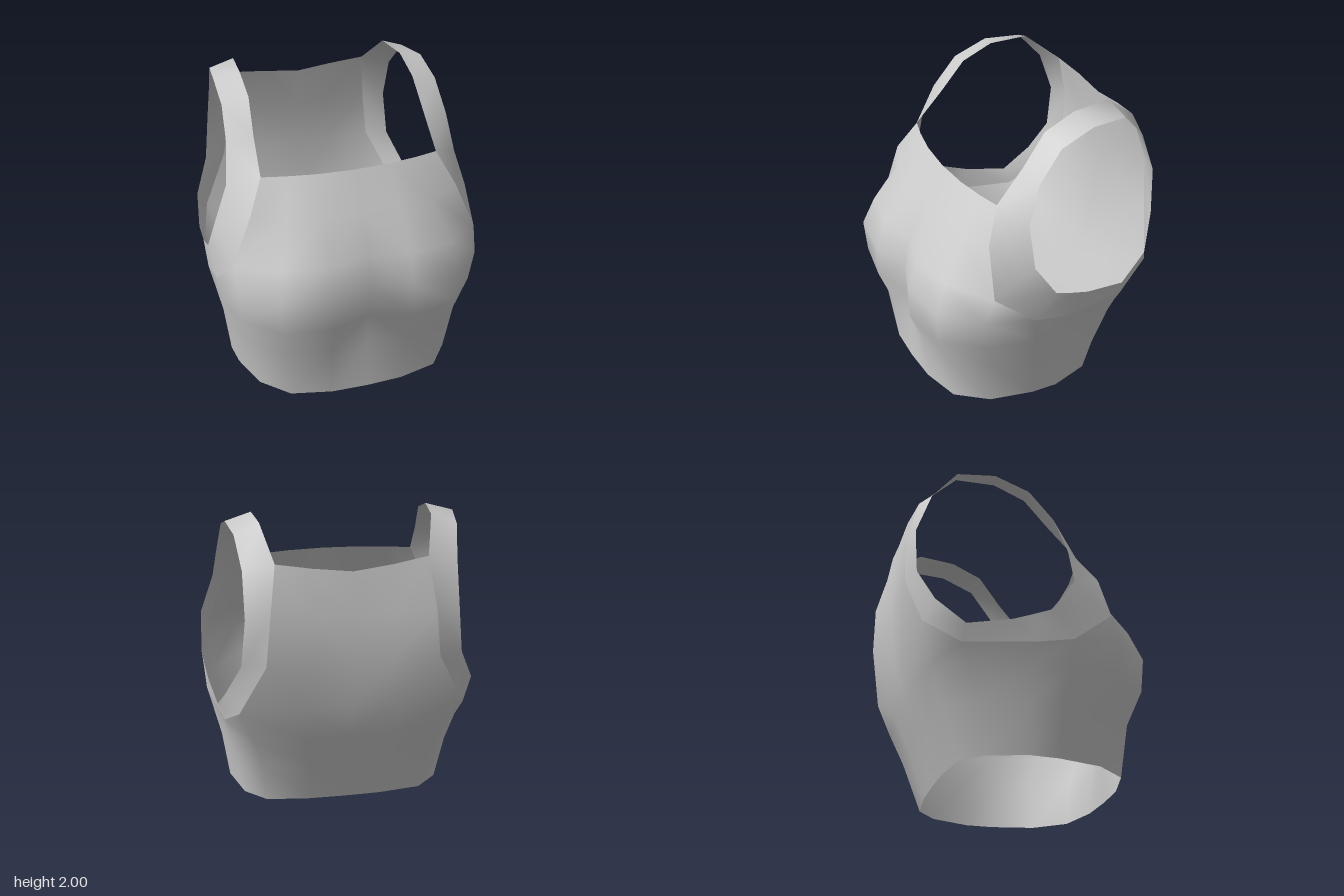
import * as THREE from 'three';
import { mergeVertices } from 'three/addons/utils/BufferGeometryUtils.js';

// Armhole edge, from the front of the shoulder down, under the arm and up the back
const armhole = [
  [0.8, 1.41, 0.205], [0.89, 1.15, 0.21], [0.905, 0.92, 0.06], [0.895, 0.875, -0.06],
  [0.88, 0.83, -0.19], [0.84, 0.78, -0.48], [0.8, 0.94, -0.67], [0.7, 1.17, -0.77],
  [0.67, 1.48, -0.78], [0.67, 1.76, -0.68], [0.7, 1.94, -0.52], [0.735, 1.95, -0.27],
  [0.745, 1.86, -0.04], [0.765, 1.66, 0.12],
];
// Seam around the armhole, which becomes the neck edge along the strap
const seam = [
  [0.605, 1.49, 0.33], [0.71, 1.28, 0.44], [0.845, 0.96, 0.47], [0.888, 0.74, 0.2],
  [0.885, 0.69, -0.05], [0.8, 0.67, -0.5], [0.72, 0.82, -0.73], [0.55, 1.17, -0.815],
  [0.52, 1.48, -0.815], [0.475, 1.81, -0.725], [0.54, 2, -0.49], [0.565, 1.99, -0.23],
  [0.57, 1.9, -0.02], [0.59, 1.7, 0.14],
];

// A row of points at one height from [x, z] pairs
const level = (y, ...xz) => xz.map(([x, z]) => [x, y, z]);

// Front panel, neckline to hem, centre to side
const front = [
  [...level(1.49, [0, 0.42], [0.25, 0.405], [0.45, 0.37]), seam[0]],
  [...level(1.25, [0, 0.55], [0.26, 0.56], [0.5, 0.53]), seam[1]],
  [...level(0.99, [0, 0.68], [0.27, 0.74], [0.58, 0.69]), seam[2]],
  level(0.79, [0, 0.72], [0.27, 0.81], [0.62, 0.77], [0.835, 0.53]),
  level(0.57, [0, 0.71], [0.27, 0.81], [0.6, 0.755], [0.81, 0.5]),
  level(0.34, [0, 0.69], [0.26, 0.72], [0.56, 0.66], [0.75, 0.43]),
  level(0, [0, 0.7], [0.25, 0.69], [0.52, 0.62], [0.68, 0.42]),
];

// Back panel, neckline to hem, side to centre
const back = [
  [seam[9], [0.25, 1.78, -0.755], [0, 1.75, -0.76]],
  [seam[8], ...level(1.48, [0.25, -0.81], [0, -0.795])],
  [seam[7], ...level(1.17, [0.25, -0.81], [0, -0.79])],
  [seam[6], ...level(0.84, [0.3, -0.77], [0, -0.755])],
  level(0.57, [0.62, -0.655], [0.28, -0.685], [0, -0.675]),
  level(0.34, [0.57, -0.56], [0.26, -0.59], [0, -0.585]),
  level(0, [0.53, -0.44], [0.25, -0.475], [0, -0.48]),
];

// Side panel joins the front and back panels below the armhole
const side = [
  [front[3][3], seam[3], seam[4], seam[5], seam[6]],
  [front[4][3], ...level(0.55, [0.855, 0.18], [0.85, -0.05], [0.765, -0.44]), back[4][0]],
  [front[5][3], ...level(0.33, [0.795, 0.15], [0.797, -0.05], [0.715, -0.38]), back[5][0]],
  [front[6][3], ...level(0, [0.745, 0.13], [0.75, -0.05], [0.67, -0.31]), back[6][0]],
];
// Small gusset between the front panel and the underarm
const gusset = [[seam[2], seam[3]], [front[3][3], seam[3]]];

// Join rows of points into a smooth surface, on one side or mirrored to both
function surface(name, sheets, signs, material) {
  const positions = [];
  const tri = (a, b, c, sign) => {
    if (a === b || b === c || a === c) return;
    for (const p of sign > 0 ? [a, b, c] : [a, c, b]) positions.push(sign * p[0], p[1], p[2]);
  };
  for (const sign of signs) {
    for (const rows of sheets) {
      for (let r = 0; r + 1 < rows.length; r++) {
        for (let c = 0; c + 1 < rows[r].length; c++) {
          const a = rows[r][c], b = rows[r][c + 1];
          const d = rows[r + 1][c], e = rows[r + 1][c + 1];
          tri(a, d, e, sign);
          tri(a, e, b, sign);
        }
      }
    }
  }
  let geometry = new THREE.BufferGeometry();
  geometry.setAttribute('position', new THREE.Float32BufferAttribute(positions, 3));
  geometry = mergeVertices(geometry, 1e-4);
  geometry.computeVertexNormals();
  const mesh = new THREE.Mesh(geometry, material);
  mesh.name = name;
  return mesh;
}

export function createModel() {
  const group = new THREE.Group();
  group.name = 'tankTop';
  const cloth = new THREE.MeshStandardMaterial({ color: 0xcccccc, side: THREE.DoubleSide });

  // Torso, both halves sharing the centre line
  group.add(surface('torso', [front, gusset, side, back], [1, -1], cloth));

  // Closed bands around the armholes, including the shoulder straps
  const band = [[...armhole, armhole[0]], [...seam, seam[0]]];
  group.add(surface('leftShoulderStrap', [band], [1], cloth));
  group.add(surface('rightShoulderStrap', [band], [-1], cloth));
  return group;
}
